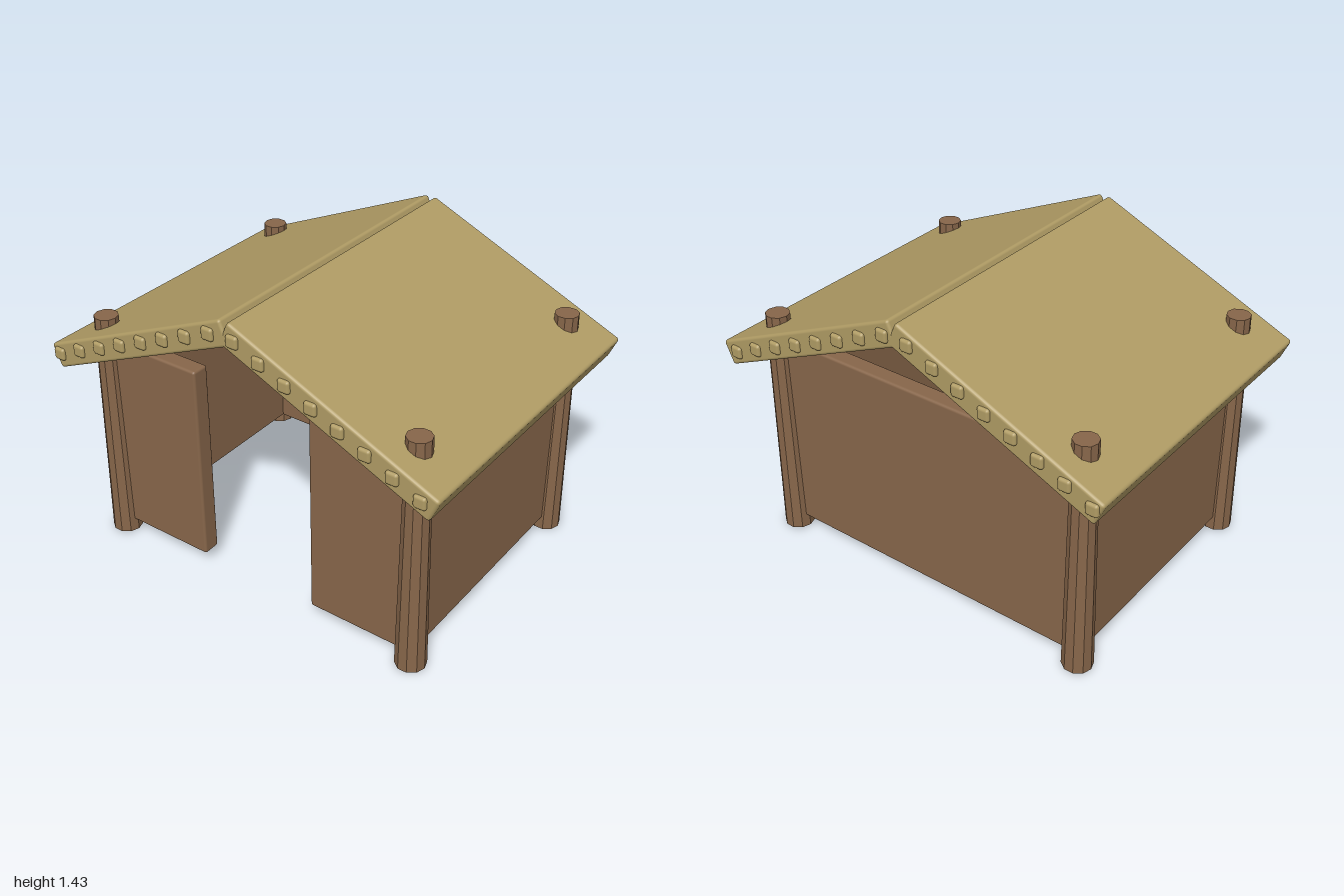
import * as THREE from 'three';
import { RoundedBoxGeometry } from 'three/addons/geometries/RoundedBoxGeometry.js';

export function createModel() {
  const model = new THREE.Group();
  model.name = 'shelter';

  const wood = new THREE.MeshStandardMaterial({ color: 0x87664a });
  wood.name = 'brown wood';
  const thatch = new THREE.MeshStandardMaterial({ color: 0xaf9b64 });
  thatch.name = 'tan roof';

  const postX = 0.812, postZ = 0.597, postHeight = 1.14;
  const wallX = 0.78, wallZ = 0.57; // wall centre planes, set in from the posts
  const wallBottom = 0.06, wallTop = 1.03, wallThickness = 0.085;

  function add(name, geometry, material, x, y, z) {
    const mesh = new THREE.Mesh(geometry, material);
    mesh.name = name;
    mesh.position.set(x, y, z);
    model.add(mesh);
    return mesh;
  }

  // Box with softly bevelled edges
  const slab = (w, h, d, bevel) => new RoundedBoxGeometry(w, h, d, 2, bevel);

  // Tapered ten-sided corner posts that poke through the roof, faceted
  const postGeometry = new THREE.CylinderGeometry(0.055, 0.07, postHeight, 10)
    .rotateY(Math.PI / 10).toNonIndexed();
  postGeometry.computeVertexNormals();
  for (const sx of [-1, 1]) {
    for (const sz of [-1, 1]) {
      add('cornerPost', postGeometry, wood, sx * postX, postHeight / 2, sz * postZ);
    }
  }

  // Walls: full back and sides, two front panels beside the doorway
  const wallHeight = wallTop - wallBottom;
  const wallY = (wallTop + wallBottom) / 2;
  const doorHalf = 0.3;
  const panelWidth = postX - doorHalf;
  add('backWall', slab(2 * postX, wallHeight, wallThickness, 0.012), wood, 0, wallY, -wallZ);
  for (const s of [-1, 1]) {
    add('sideWall', slab(wallThickness, wallHeight, 2 * postZ, 0.012), wood, s * wallX, wallY, 0);
    add('frontPanel', slab(panelWidth, wallHeight, wallThickness, 0.012), wood,
      s * (doorHalf + panelWidth / 2), wallY, wallZ);
  }

  // Two sloping roof slabs meeting at the ridge
  const slope = 0.414;
  const roofX = 0.489, roofY = 1.167;
  for (const s of [-1, 1]) {
    const roof = add('roofSlab', slab(1.078, 0.117, 1.512, 0.014), thatch, s * roofX, roofY, 0);
    roof.rotation.z = -s * slope;
  }

  // Row of square studs along both gable edges
  const studGeometry = slab(0.06, 0.06, 0.06, 0.014);
  for (const sz of [-1, 1]) {
    for (let i = 0; i < 16; i++) {
      const x = -0.953 + i * 0.125;
      const lift = x < 0 ? 0.01 : 0;
      const y = roofY + (roofX - Math.abs(x)) * Math.tan(slope) + lift;
      add('gableStud', studGeometry, thatch, x, y, sz * 0.74);
    }
  }

  return model;
}
